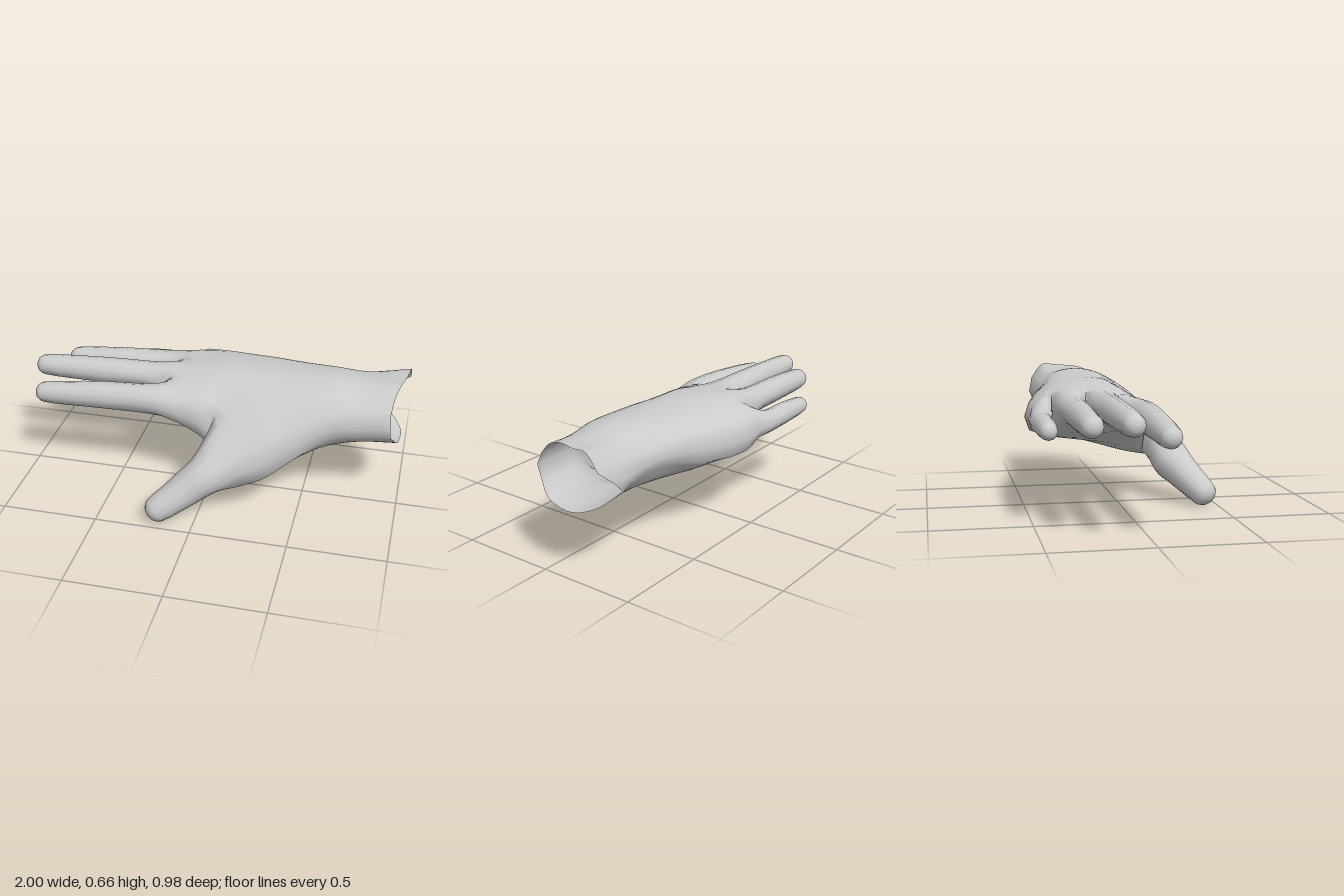
import * as THREE from 'three';
import { mergeVertices } from 'three/addons/utils/BufferGeometryUtils.js';

const V = (x, y, z) => new THREE.Vector3(x, y, z);
const at = (v, i) => v[i] ?? v; // a number, or one entry of a list

// Cross-sections from wrist to thumb root. Each lists control columns from the
// little-finger side to the thumb side: z, top height, bottom height.
const wristRows = [
  { x: [1, 1, 0.985, 0.96, 0.94, 0.93], xb: [0.83, 0.93, 0.98, 0.98, 0.97, 0.94],
    z: [-0.345, -0.28, -0.19, -0.09, -0.005, 0.055],
    t: [0.58, 0.66, 0.655, 0.65, 0.62, 0.56], b: [0.43, 0.37, 0.34, 0.34, 0.37, 0.43] },
  { x: 0.78, z: [-0.335, -0.275, -0.19, -0.08, 0.01, 0.075],
    t: [0.56, 0.62, 0.645, 0.645, 0.61, 0.55], b: [0.44, 0.38, 0.35, 0.345, 0.36, 0.42] },
  { x: 0.62, z: [-0.335, -0.27, -0.17, -0.06, 0.04, 0.105],
    t: [0.56, 0.63, 0.66, 0.655, 0.615, 0.53], b: [0.46, 0.37, 0.335, 0.325, 0.33, 0.4] },
  { x: 0.45, z: [-0.365, -0.29, -0.18, -0.05, 0.08, 0.18],
    t: [0.56, 0.625, 0.655, 0.65, 0.59, 0.46], b: [0.45, 0.36, 0.315, 0.28, 0.26, 0.29] },
  { x: [0.28, 0.28, 0.28, 0.28, 0.26, 0.32], z: [-0.41, -0.32, -0.19, -0.05, 0.11, 0.25],
    t: [0.55, 0.62, 0.65, 0.645, 0.565, 0.41], b: [0.41, 0.345, 0.308, 0.267, 0.225, 0.21] },
  { x: [0.12, 0.12, 0.12, 0.11, 0.06, 0.2], xb: [0.12, 0.12, 0.12, 0.12, 0.1, 0.2],
    z: [-0.445, -0.34, -0.19, -0.04, 0.155, 0.305],
    t: [0.54, 0.615, 0.65, 0.64, 0.5, 0.355], b: [0.39, 0.345, 0.32, 0.3, 0.25, 0.182] },
];
// Cross-sections from thumb root to knuckles
const palmRows = [
  { x: [0, 0, 0, -0.01, -0.04], z: [-0.465, -0.355, -0.195, -0.03, 0.14],
    t: [0.54, 0.61, 0.645, 0.63, 0.53], b: [0.395, 0.36, 0.35, 0.35, 0.365] },
  { x: [-0.11, -0.11, -0.19, -0.21, -0.15], bump: 0.014, z: [-0.46, -0.36, -0.195, -0.03, 0.13],
    t: [0.53, 0.595, 0.615, 0.595, 0.535], b: [0.425, 0.4, 0.41, 0.41, 0.415] },
];

// Expand a row into four columns of points per control interval
function columns(row) {
  const n = row.z.length - 1;
  const spline = (xs, ys) => new THREE.CatmullRomCurve3(row.z.map((z, i) => V(at(xs, i), at(ys, i), z)));
  const top = spline(row.x, row.t), bottom = spline(row.xb ?? row.x, row.b);
  const s = { top: [], bottom: [] };
  for (let c = 0; c <= 4 * n; c++) {
    const rise = (row.bump ?? 0) * Math.sin(Math.PI * (c % 4) / 4);
    s.top.push(top.getPoint(c / (4 * n)).add(V(0, rise, 0)));
    s.bottom.push(bottom.getPoint(c / (4 * n)).add(V(0, -rise / 2, 0)));
  }
  return s;
}

// Closed ring around columns a..b; outer edges bulge sideways, webs bulge forward
function cell(s, a, b) {
  const last = s.top.length - 1;
  const mid = (c) => s.top[c].clone().lerp(s.bottom[c], 0.5).add(
    c === 0 ? V(0, 0, -0.025) : c === last ? V(0, 0, 0.028) : V(-0.035, 0, 0));
  return [...s.top.slice(a, b + 1), mid(b), ...s.bottom.slice(a, b + 1).reverse(), mid(a)];
}

// Twelve-point digit ring; v points to the thumb side, w to the back of the hand
function digitRing(centre, r, v, w) {
  return Array.from({ length: 12 }, (_, k) => {
    const a = (150 - 30 * k) * Math.PI / 180;
    return centre.clone().addScaledVector(v, r * Math.cos(a)).addScaledVector(w, r * Math.sin(a));
  });
}

// Root ring, shaft rings and a rounded tip
function digit(root, path, u, v) {
  const w = u.clone().cross(v);
  const rings = [root, ...path.map(([x, y, z, r]) => digitRing(V(x, y, z), r, v, w))];
  const [x, y, z, r] = path[path.length - 1];
  for (const [along, scale] of [[0.5, 0.87], [0.85, 0.52], [1, 0]])
    rings.push(digitRing(V(x, y, z).addScaledVector(u, r * along), r * scale, v, w));
  return rings;
}

// Smooth skin through a list of rings, appended to shared arrays
function loft(rings, steps, positions, index) {
  const n = rings[0].length, rows = (rings.length - 1) * steps;
  const base = positions.length / 3;
  const rails = rings[0].map((_, j) => new THREE.CatmullRomCurve3(rings.map((ring) => ring[j])));
  for (let i = 0; i <= rows; i++)
    for (const rail of rails) positions.push(...rail.getPoint(i / rows).toArray());
  for (let i = 0; i < rows; i++)
    for (let j = 0; j < n; j++) {
      const a = base + i * n + j, b = base + i * n + (j + 1) % n;
      index.push(a, a + n, b, b, a + n, b + n);
    }
}

export function createModel() {
  const group = new THREE.Group();
  group.name = 'openHand';
  const wrist = wristRows.map(columns), palm = palmRows.map(columns);
  const split = wrist[wrist.length - 1], knuckles = palm[palm.length - 1];

  const parts = [
    ['wristAndHeel', wrist.map((s) => cell(s, 0, 20))],
    ['palm', [cell(split, 0, 16), ...palm.map((s) => cell(s, 0, 16))]],
  ];

  // Fingers: x, y, z, radius along each shaft
  const fingers = {
    littleFinger: [[-0.23, 0.472, -0.427, 0.061], [-0.4, 0.472, -0.432, 0.055], [-0.56, 0.468, -0.43, 0.045]],
    ringFinger: [[-0.3, 0.532, -0.277, 0.075], [-0.55, 0.53, -0.272, 0.067], [-0.815, 0.52, -0.265, 0.055]],
    middleFinger: [[-0.32, 0.543, -0.112, 0.076], [-0.6, 0.545, -0.107, 0.069], [-0.945, 0.541, -0.1, 0.055]],
    indexFinger: [[-0.31, 0.502, 0.066, 0.08], [-0.6, 0.495, 0.076, 0.071], [-0.89, 0.475, 0.08, 0.055]],
  };
  Object.entries(fingers).forEach(([name, path], i) =>
    parts.push([name, digit(cell(knuckles, 4 * i, 4 * i + 4), path, V(-1, 0, 0), V(0, 0, 1))]));

  // Thumb, angled down and forward
  const u = V(-0.74, -0.53, 0.42).normalize();
  const v = V(0.2, -0.6, 0.77);
  v.addScaledVector(u, -v.dot(u)).normalize();
  parts.push(['thumb', digit(cell(split, 16, 20), [
    [0.03, 0.222, 0.295, 0.106], [-0.05, 0.163, 0.342, 0.092],
    [-0.12, 0.112, 0.386, 0.081], [-0.18, 0.072, 0.422, 0.072]], u, v)]);

  // Weld all skins so that shading runs smoothly across the parts
  const positions = [], index = [], ranges = [];
  for (const [name, rings] of parts) {
    const start = index.length;
    loft(rings, 4, positions, index);
    ranges.push([name, start, index.length]);
  }
  let skin = new THREE.BufferGeometry();
  skin.setAttribute('position', new THREE.Float32BufferAttribute(positions, 3));
  skin.setIndex(index);
  skin = mergeVertices(skin);
  skin.computeVertexNormals();

  const material = new THREE.MeshStandardMaterial({ color: 0xcccccc, side: THREE.DoubleSide });
  const welded = Array.from(skin.index.array);
  for (const [name, start, end] of ranges) {
    const geometry = new THREE.BufferGeometry();
    geometry.setAttribute('position', skin.attributes.position);
    geometry.setAttribute('normal', skin.attributes.normal);
    geometry.setIndex(welded.slice(start, end));
    const mesh = new THREE.Mesh(geometry, material);
    mesh.name = name;
    group.add(mesh);
  }
  return group;
}
